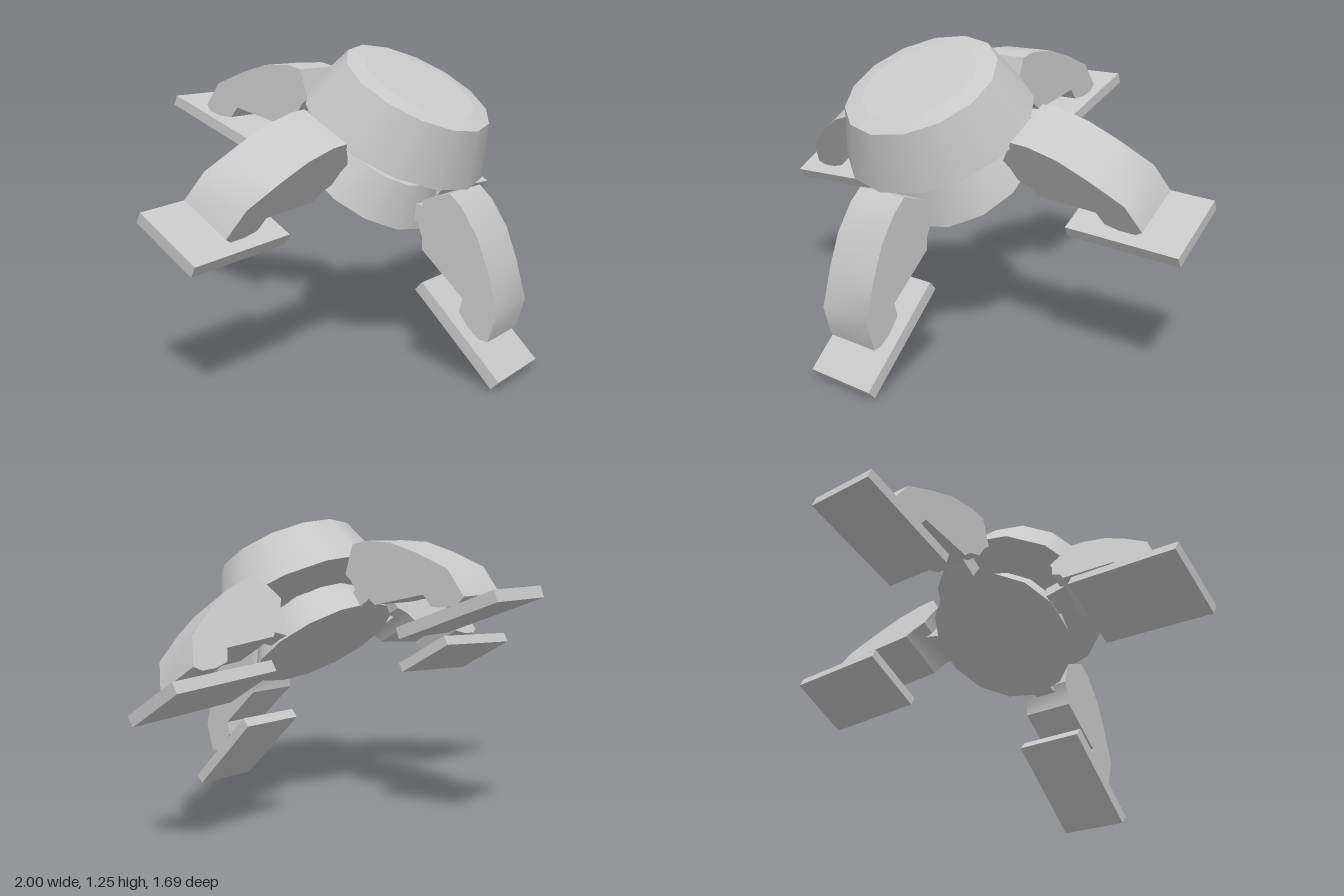
import * as THREE from 'three';
import { toCreasedNormals } from 'three/addons/utils/BufferGeometryUtils.js';

const TILT = Math.PI / 6; // forward lean of the whole machine
const rad = THREE.MathUtils.degToRad;

// Side outline of a leg: origin at the ankle tip, x outward, y up
const LEG_PROFILE = [
  [0, 0], [-0.104, 0.07], [-0.262, 0.076], [-0.392, 0.07], [-0.512, 0.036], [-0.574, 0],
  [-0.573, -0.125], [-0.535, -0.14], [-0.49, -0.175], [-0.433, -0.17], [-0.388, -0.185],
  [-0.177, -0.06], [-0.128, -0.09], [-0.067, -0.069], [-0.015, -0.035],
];

export function createModel() {
  const model = new THREE.Group();
  model.name = 'walker';
  const grey = new THREE.MeshStandardMaterial({ color: 0xc8c8c8 });
  grey.name = 'light grey';

  const add = (parent, name, geometry, x = 0, y = 0, z = 0) => {
    const mesh = new THREE.Mesh(geometry, grey);
    mesh.name = name;
    mesh.position.set(x, y, z);
    parent.add(mesh);
    return mesh;
  };
  const group = (name, x, y, z, rx) => {
    const g = new THREE.Group();
    g.name = name;
    g.position.set(x, y, z);
    g.rotation.x = rx;
    model.add(g);
    return g;
  };

  // Upper dome: flared skirt with a shallow bevelled lid
  const dome = group('dome', 0, 0.905, 0.265, TILT);
  add(dome, 'domeSkirt', new THREE.CylinderGeometry(0.31, 0.39, 0.215, 14), 0, 0.1075);
  add(dome, 'domeLid', new THREE.CylinderGeometry(0.235, 0.31, 0.014, 14), 0, 0.222);

  // Lower body with a short neck up to the dome
  const body = group('lowerBody', 0, 0.715, 0.14, rad(36));
  add(body, 'lowerHull', new THREE.CylinderGeometry(0.235, 0.32, 0.157, 14), 0, 0.0785);
  add(body, 'neck', new THREE.CylinderGeometry(0.07, 0.07, 0.12, 12), 0, 0.2);

  // Shared leg, hip and foot geometry
  const shape = new THREE.Shape(LEG_PROFILE.map(([x, y]) => new THREE.Vector2(x, y)));
  let legGeometry = new THREE.ExtrudeGeometry(shape, { depth: 0.23, bevelEnabled: false });
  legGeometry.translate(0, 0, -0.115);
  legGeometry = toCreasedNormals(legGeometry, rad(38));
  const hipGeometry = new THREE.BoxGeometry(0.11, 0.07, 0.1);
  const footGeometry = new THREE.BoxGeometry(0.47, 0.046, 0.305);

  // Each leg: ankle position and pitch, foot centre and pitch, heading and lean
  const legs = [
    { name: 'front', ankle: [0, 0.165, 0.77], pitch: -72, foot: [0, 0.18, 0.656], footPitch: -43.7, yaw: -90, lean: 0 },
    { name: 'back', ankle: [0, 0.965, -0.675], pitch: -18.3, foot: [0, 0.896, -0.617], footPitch: 20.5, yaw: 90, lean: 0 },
    { name: 'left', ankle: [0.855, 0.67, 0.05], pitch: -36, foot: [0.765, 0.615, 0.01], footPitch: -3.5, yaw: 0, lean: TILT },
    { name: 'right', ankle: [-0.855, 0.67, 0.05], pitch: -36, foot: [-0.765, 0.615, 0.01], footPitch: -3.5, yaw: 180, lean: TILT },
  ];
  for (const l of legs) {
    const leg = add(model, l.name + 'Leg', legGeometry, ...l.ankle);
    leg.rotation.set(l.lean, rad(l.yaw), rad(l.pitch));
    const hip = add(leg, l.name + 'Hip', hipGeometry, -0.505, -0.178, 0);
    hip.rotation.z = rad(55);
    const foot = add(model, l.name + 'Foot', footGeometry, ...l.foot);
    foot.rotation.set(l.lean, rad(l.yaw), rad(l.footPitch));
  }
  return model;
}
